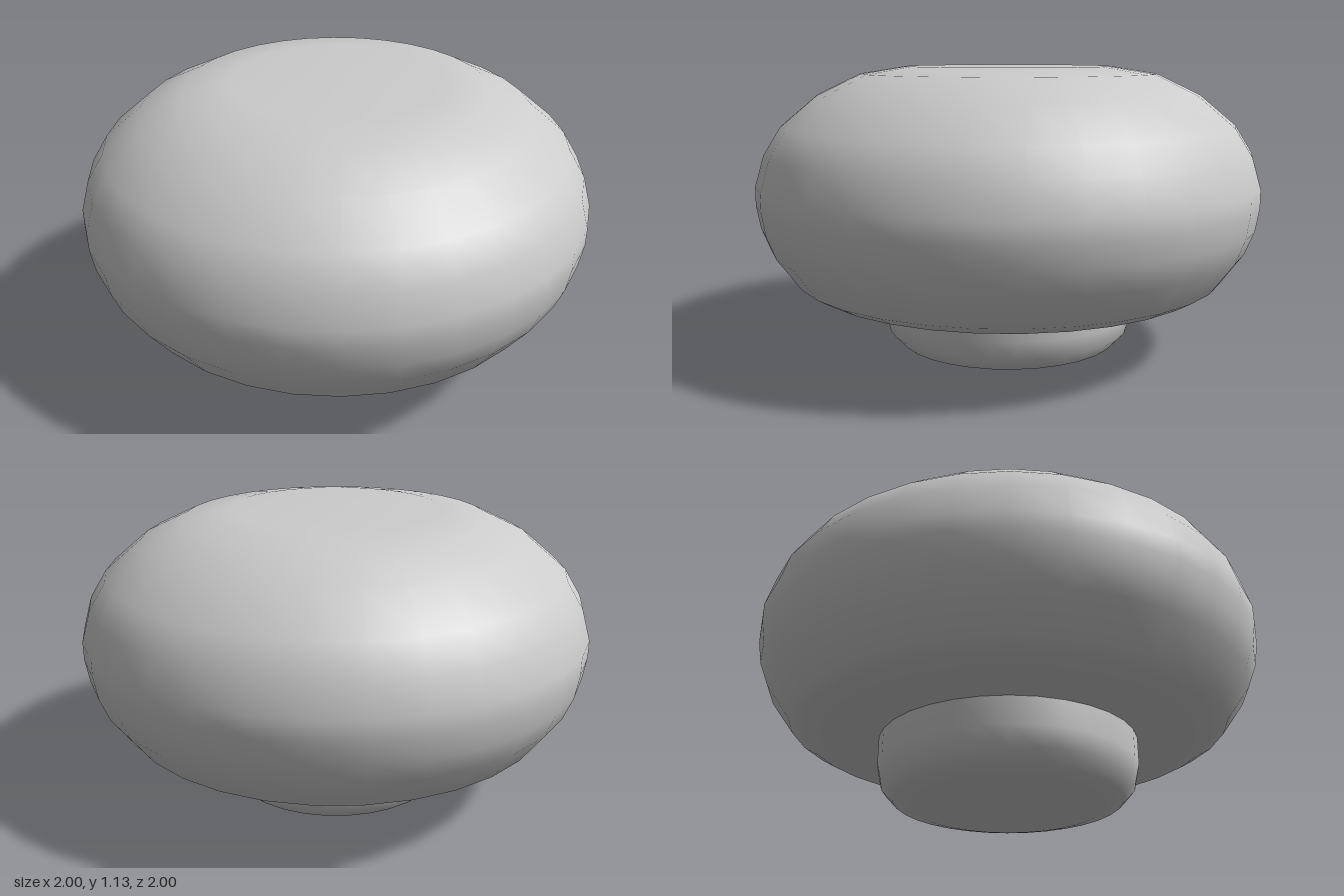
import * as THREE from 'three';

const material = new THREE.MeshStandardMaterial({ color: 0xcccccc });

// Turn a [radius, height] profile, listed from bottom to top, around the y axis
function turned(name, profile) {
  const points = profile.map(([r, y]) => new THREE.Vector2(r, y));
  const mesh = new THREE.Mesh(new THREE.LatheGeometry(points, 32), material);
  mesh.name = name;
  return mesh;
}

export function createModel() {
  const group = new THREE.Group();
  group.name = 'knob';

  // Narrow foot with a rounded lower edge
  group.add(turned('stem', [
    [0, 0], [0.375, 0.002], [0.447, 0.02], [0.493, 0.07], [0.51, 0.145], [0.51, 0.27],
  ]));

  // Wide bulging head: flat underside, round rim, gently domed shoulder, flat top
  group.add(turned('head', [
    [0, 0.25], [0.5, 0.25], [0.71, 0.25], [0.8, 0.27], [0.86, 0.305], [0.95, 0.43],
    [0.985, 0.52], [1, 0.61], [1, 0.68], [0.965, 0.8], [0.9, 0.905],
    [0.757, 1.025], [0.59, 1.105], [0.41, 1.134], [0, 1.134],
  ]));

  return group;
}
